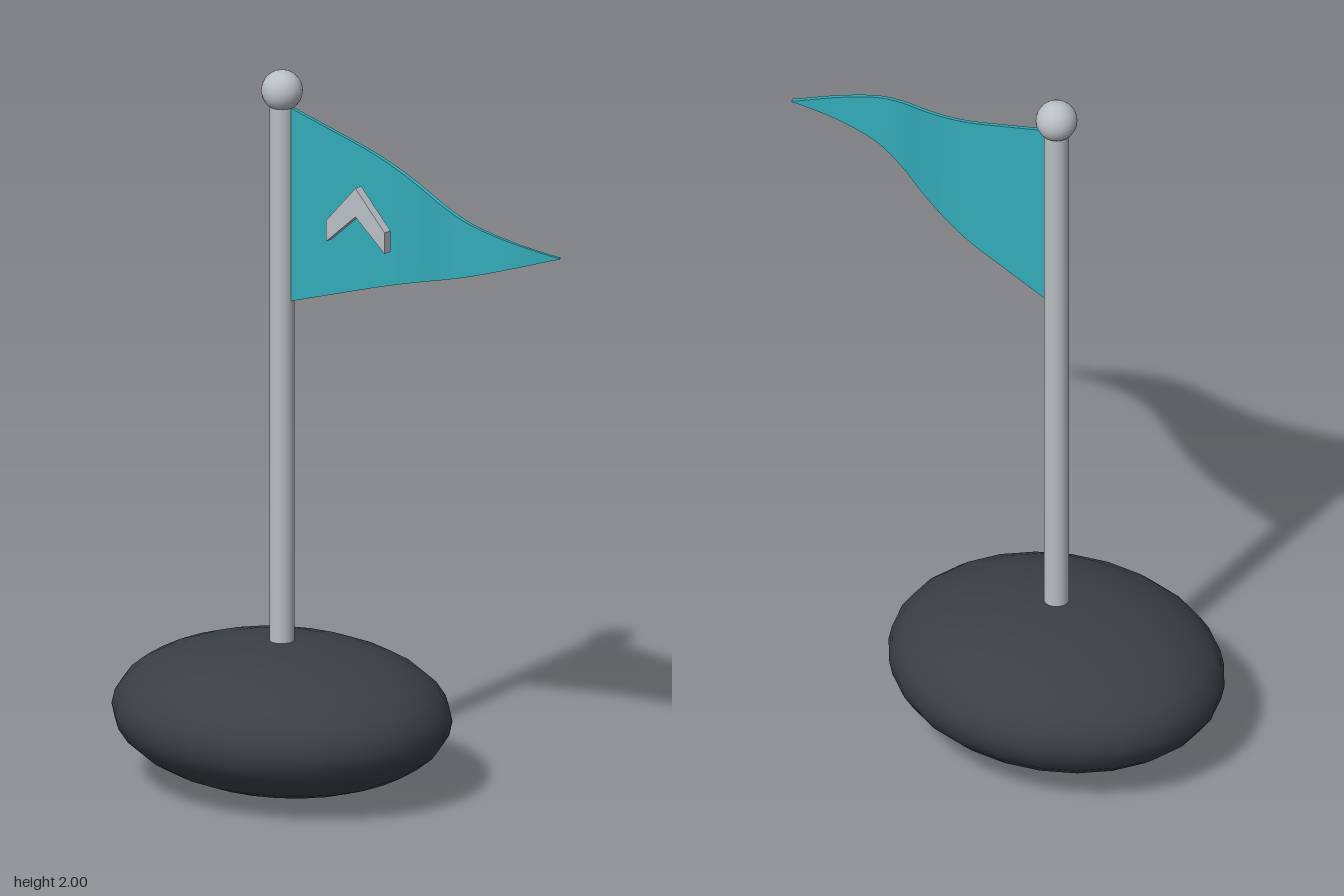
import * as THREE from 'three';

export function createModel() {
  const mat = (name, color) => Object.assign(new THREE.MeshStandardMaterial({ color }), { name });
  const metal = mat('silver', 0xb9bfc4);
  const dark = mat('charcoal', 0x3a3f44);
  const teal = mat('teal', 0x33acb9);

  const model = new THREE.Group();
  model.name = 'pennantOnStand';
  const poleX = -0.18;
  const turn = -0.47; // heading of the base and the emblem
  const add = (name, geometry, material, x, y, z) => {
    const mesh = new THREE.Mesh(geometry, material);
    mesh.name = name;
    mesh.position.set(x, y, z);
    model.add(mesh);
    return mesh;
  };

  // Flattened oval base
  const base = add('base', new THREE.SphereGeometry(1, 24, 16), dark, poleX, 0.205, 0);
  base.scale.set(0.481, 0.203, 0.412);
  base.rotation.y = turn;

  // Pole and finial
  add('pole', new THREE.CylinderGeometry(0.034, 0.034, 1.62, 16), metal, poleX, 1.11, 0);
  add('finial', new THREE.SphereGeometry(0.056, 24, 16), metal, poleX, 1.944, 0);

  // Waving pennant: a thin slab bent along a curve and tapered to the tip
  const wave = new THREE.CatmullRomCurve3([
    [-0.165, 0.006], [-0.125, 0.024], [-0.02, 0.07], [0.09, 0.12], [0.17, 0.172],
    [0.246, 0.234], [0.32, 0.301], [0.4, 0.353], [0.516, 0.381], [0.645, 0.385],
  ].map(([x, z]) => new THREE.Vector3(x, 0, z)));
  const cloth = new THREE.BoxGeometry(1, 1, 0.012, 40, 1, 1);
  const pos = cloth.attributes.position;
  const along = (p) => p.x * Math.cos(turn) - p.z * Math.sin(turn);
  const start = along(wave.getPointAt(0));
  const end = along(wave.getPointAt(1));
  for (let i = 0; i < pos.count; i++) {
    const u = THREE.MathUtils.clamp(pos.getX(i) + 0.5, 0, 1);
    const p = wave.getPointAt(u);
    const t = wave.getTangentAt(u);
    const d = pos.getZ(i);
    const height = Math.max(0.003, 0.55 * (end - along(p)) / (end - start));
    pos.setXYZ(i, p.x - t.z * d, pos.getY(i) * height, p.z + t.x * d);
  }
  cloth.computeVertexNormals();
  add('pennant', cloth, teal, 0, 1.631, 0);

  // Raised chevron in front of the pennant
  const chevron = new THREE.Shape([
    [-0.098, -0.062], [0, 0.024], [0.098, -0.062], [0.098, -0.003], [0, 0.104], [-0.098, -0.003],
  ].map(([x, y]) => new THREE.Vector2(x, y)));
  const emblem = new THREE.ExtrudeGeometry(chevron, { depth: 0.026, bevelEnabled: false });
  emblem.translate(0, 0, -0.013);
  add('chevron', emblem, metal, 0.058, 1.632, 0.171).rotation.y = turn;

  return model;
}
